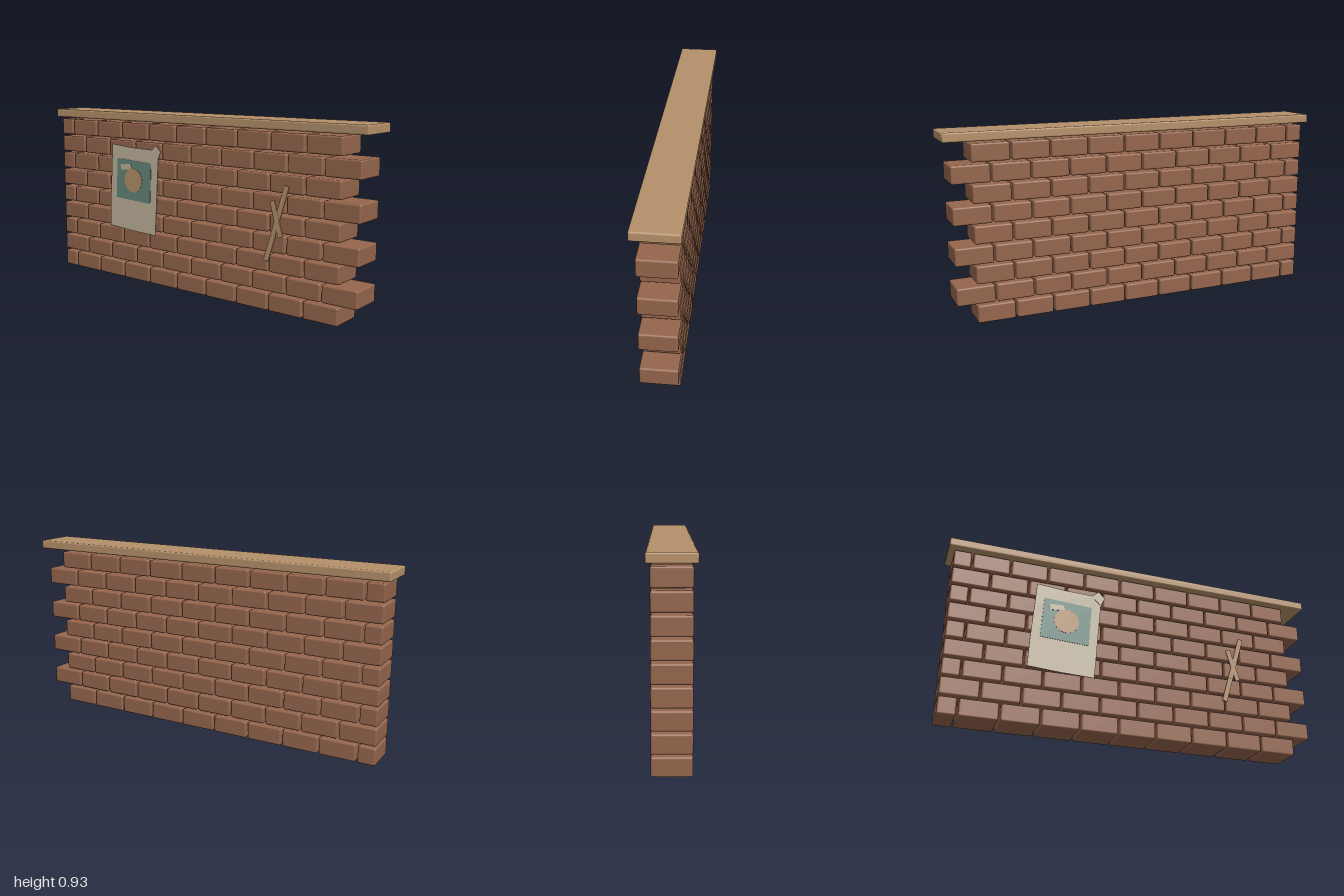
import * as THREE from 'three';
import { RoundedBoxGeometry } from 'three/addons/geometries/RoundedBoxGeometry.js';

const material = (name, color) => {
  const m = new THREE.MeshStandardMaterial({ color });
  m.name = name;
  return m;
};

export function createModel() {
  const wall = new THREE.Group();
  wall.name = 'brickWall';

  const brickRed = material('brickRed', 0x94654c);
  const sandstone = material('sandstone', 0xb5906a);
  const paper = material('paper', 0xbfb39b);
  const inkGreen = material('inkGreen', 0x64867c);

  const add = (parent, name, geometry, mat, x = 0, y = 0, z = 0) => {
    const mesh = new THREE.Mesh(geometry, mat);
    mesh.name = name;
    mesh.position.set(x, y, z);
    parent.add(mesh);
    return mesh;
  };

  // Thin plate cut from an outline, with its back at z
  const plate = (parent, name, points, mat, z, thickness = 0.002) => {
    const shape = new THREE.Shape(points.map(([x, y]) => new THREE.Vector2(x, y)));
    const geometry = new THREE.ExtrudeGeometry(shape, { depth: thickness, bevelEnabled: false });
    return add(parent, name, geometry, mat, 0, 0, z);
  };

  // Courses in running bond: even rows start with a half brick
  const pitchX = 0.1947, pitchY = 0.0978, gap = 0.0095;
  const height = 0.088, depth = 0.175, left = -0.972;
  const halfWidth = pitchX / 2 - gap;
  const fullBrick = new RoundedBoxGeometry(pitchX - gap, height, depth, 2, 0.009);
  const halfBrick = new RoundedBoxGeometry(halfWidth, height, depth, 2, 0.009);
  const bricks = new THREE.Group();
  bricks.name = 'bricks';
  wall.add(bricks);
  for (let row = 0; row < 9; row++) {
    const y = height / 2 + row * pitchY;
    const offset = row % 2 === 0;
    if (offset) add(bricks, 'halfBrick', halfBrick, brickRed, left + halfWidth / 2, y);
    const start = left + (offset ? pitchX / 2 : 0) + (pitchX - gap) / 2;
    for (let i = 0; i < (offset ? 9 : 10); i++) {
      add(bricks, 'brick', fullBrick, brickRed, start + i * pitchX, y);
    }
  }

  // Coping slab
  add(wall, 'copingSlab', new RoundedBoxGeometry(2, 0.045, 0.211, 2, 0.008), sandstone, 0, 0.9045);

  // Weathered poster with a folded corner and a printed picture
  const poster = new THREE.Group();
  poster.name = 'poster';
  wall.add(poster);
  plate(poster, 'posterSheet', [
    [-0.575, 0.291], [-0.41, 0.28], [-0.236, 0.274], [-0.222, 0.5], [-0.21, 0.69],
    [-0.25, 0.736], [-0.4, 0.739], [-0.548, 0.751], [-0.556, 0.63], [-0.57, 0.43],
  ], paper, 0.097);
  plate(poster, 'foldedCorner', [
    [-0.262, 0.728], [-0.21, 0.685], [-0.19, 0.73], [-0.224, 0.763],
  ], paper, 0.1);
  plate(poster, 'printedPanel', [
    [-0.521, 0.457], [-0.27, 0.444], [-0.26, 0.662], [-0.508, 0.676],
  ], inkGreen, 0.1);
  const disc = add(poster, 'printedDisc', new THREE.CylinderGeometry(0.065, 0.065, 0.002, 32), sandstone, -0.39, 0.561, 0.104);
  disc.rotation.x = Math.PI / 2;
  plate(poster, 'printedLabel', [
    [-0.477, 0.613], [-0.41, 0.618], [-0.4, 0.632], [-0.41, 0.649], [-0.46, 0.647], [-0.484, 0.643],
  ], paper, 0.1025);

  // Chalky crack marks made of flat strips
  const marks = new THREE.Group();
  marks.name = 'crackMarks';
  wall.add(marks);
  const strips = [
    [0.476, 0.252, 0.521, 0.4],
    [0.516, 0.385, 0.588, 0.625],
    [0.508, 0.548, 0.558, 0.377],
  ];
  strips.forEach(([x1, y1, x2, y2], i) => {
    const strip = add(marks, 'crackStrip',
      new THREE.BoxGeometry(0.027, Math.hypot(x2 - x1, y2 - y1), 0.004), sandstone,
      (x1 + x2) / 2, (y1 + y2) / 2, 0.093 + i * 0.0008);
    strip.rotation.z = -Math.atan2(x2 - x1, y2 - y1);
  });

  return wall;
}
